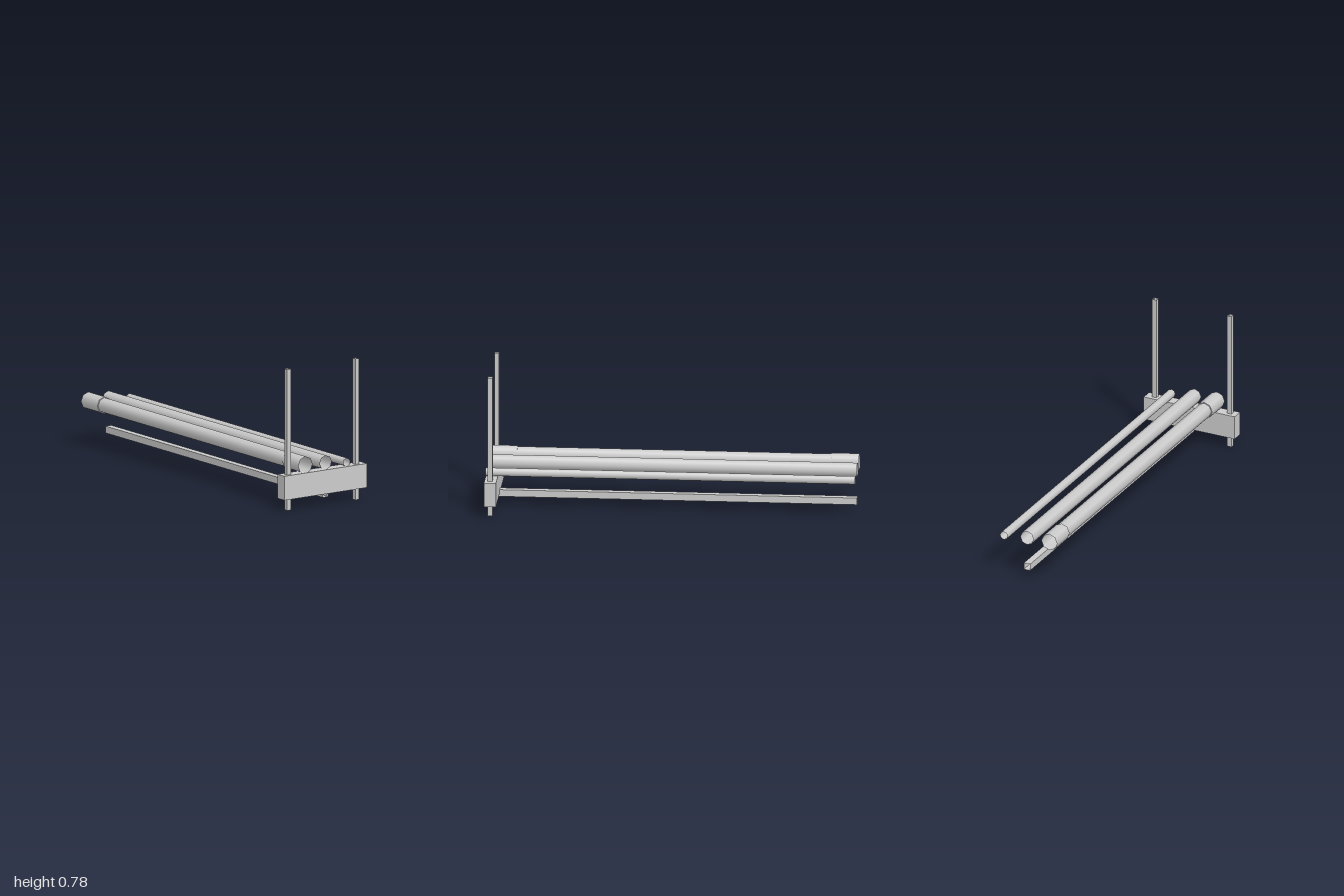
import * as THREE from 'three';

const grey = new THREE.MeshStandardMaterial({ color: 0xcccccc, side: THREE.DoubleSide });
const flatGrey = new THREE.MeshStandardMaterial({ color: 0xcccccc, side: THREE.DoubleSide, flatShading: true });

export function createModel() {
  const group = new THREE.Group();

  const add = (name, geometry, material, x, y, z, parent = group) => {
    const mesh = new THREE.Mesh(geometry, material);
    mesh.name = name;
    mesh.position.set(x, y, z);
    parent.add(mesh);
    return mesh;
  };

  // Thin open round tube along z
  const roundTube = (radius, length) =>
    new THREE.CylinderGeometry(radius, radius, length, 8, 1, true).rotateX(Math.PI / 2);

  // Thin open square tube along y
  const squareTube = (width, length) => {
    const r = width / Math.SQRT2;
    return new THREE.CylinderGeometry(r, r, length, 4, 1, true).rotateY(Math.PI / 4);
  };

  // Cross beam at the front
  add('crossBeam', new THREE.BoxGeometry(0.55, 0.133, 0.065), flatGrey, 0, 0.13, 0.9675);

  // Hollow posts passing through the beam
  add('rightPost', squareTube(0.026, 0.78), flatGrey, -0.232, 0.39, 0.97);
  add('leftPost', squareTube(0.026, 0.78), flatGrey, 0.222, 0.39, 0.97);

  // Long square rail under the pipes
  add('lowerRail', squareTube(0.038, 2).rotateX(Math.PI / 2), flatGrey, 0, 0.065, 0);

  // Large pipe with a wider socket at each end
  const socketPipe = new THREE.Group();
  socketPipe.name = 'socketPipe';
  socketPipe.position.set(-0.135, 0.241, 0);
  group.add(socketPipe);
  add('pipeBody', roundTube(0.0425, 1.7), grey, 0, 0, 0, socketPipe);
  for (const side of [1, -1]) {
    add('socket', roundTube(0.0475, 0.15), grey, 0, 0, side * 0.925, socketPipe);
    add('socketStep', new THREE.RingGeometry(0.0425, 0.0475, 8), grey, 0, 0, side * 0.85, socketPipe);
  }

  // Plain pipes resting on the beam
  add('mediumPipe', roundTube(0.04, 2), grey, 0, 0.237, 0);
  add('smallPipe', roundTube(0.0235, 2), grey, 0.14, 0.221, 0);

  return group;
}
